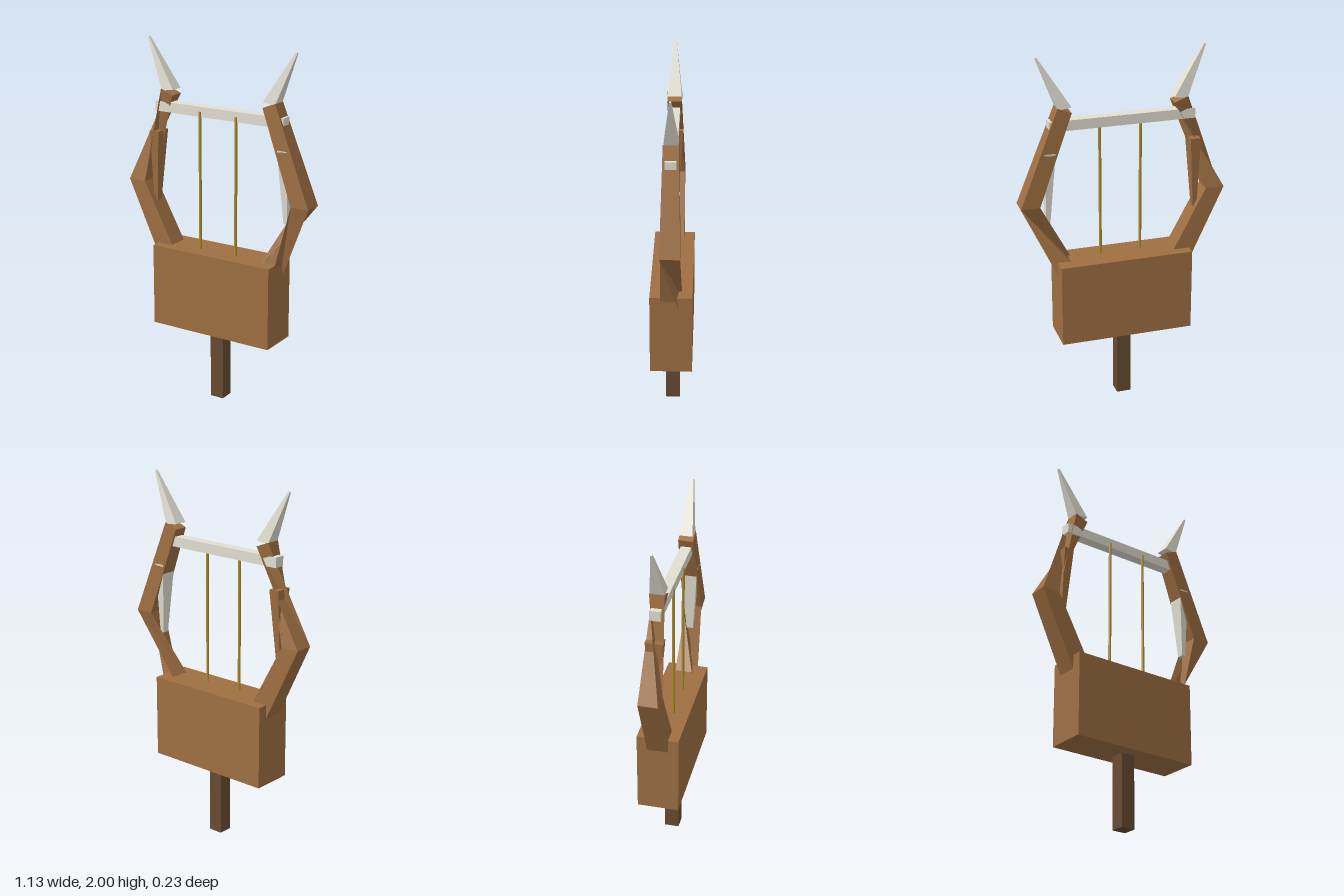
import * as THREE from 'three';

const wood = new THREE.MeshStandardMaterial({ name: 'wood', color: 0x9e6f42, side: THREE.DoubleSide });
const darkWood = new THREE.MeshStandardMaterial({ name: 'dark wood', color: 0x674a31 });
const bone = new THREE.MeshStandardMaterial({ name: 'bone', color: 0xe2dfd1 });
const gold = new THREE.MeshStandardMaterial({ name: 'gold', color: 0xb08d2e });

// Four corners of a section: outer front, outer back, inner back, inner front
function section([xo, yo], [xi, yi], halfDepth) {
  return [[xo, yo, halfDepth], [xo, yo, -halfDepth], [xi, yi, -halfDepth], [xi, yi, halfDepth]];
}

// Four-sided beam through sections from bottom to top. Each twist is 0 (straight),
// 1 (lower corners joined a quarter turn on) or -1 (upper corners a quarter turn on).
function beam(sections, side, twists = []) {
  const pos = [];
  const tri = (a, b, c) => {
    for (const p of side > 0 ? [a, b, c] : [a, c, b]) pos.push(p[0] * side, p[1], p[2]);
  };
  for (let s = 0; s < sections.length - 1; s++) {
    const lo = (k) => sections[s][k % 4];
    const up = (k) => sections[s + 1][k % 4];
    for (let k = 0; k < 4; k++) {
      if (twists[s] === 1) {
        tri(lo(k), lo(k + 1), up(k + 2));
        tri(lo(k), up(k + 2), up(k + 1));
      } else if (twists[s] === -1) {
        tri(up(k + 1), up(k), lo(k + 2));
        tri(up(k), lo(k + 1), lo(k + 2));
      } else {
        tri(lo(k), lo(k + 1), up(k + 1));
        tri(lo(k), up(k + 1), up(k));
      }
    }
  }
  const [a, b, c, d] = sections[0];
  tri(a, d, c);
  tri(a, c, b);
  const [e, f, g, h] = sections[sections.length - 1];
  tri(e, f, g);
  tri(e, g, h);
  const geo = new THREE.BufferGeometry();
  geo.setAttribute('position', new THREE.Float32BufferAttribute(pos, 3));
  geo.computeVertexNormals();
  return geo;
}

export function createModel() {
  const model = new THREE.Group();
  model.name = 'lyre';
  const add = (name, geo, mat, x = 0, y = 0, z = 0) => {
    const mesh = new THREE.Mesh(geo, mat);
    mesh.name = name;
    mesh.position.set(x, y, z);
    model.add(mesh);
  };

  // Handle, sound box and crossbar
  add('handle', new THREE.BoxGeometry(0.08, 0.42, 0.08), darkWood, 0, 0.21, 0);
  add('soundBox', new THREE.BoxGeometry(0.74, 0.46, 0.227), wood, 0, 0.63, 0);
  add('crossbar', new THREE.BoxGeometry(0.8, 0.055, 0.058), bone, 0, 1.63, 0);

  const armSections = [
    section([0.338, 0.715], [0.25, 0.8], 0.058),
    section([0.566, 1.2], [0.463, 1.2], 0.053),
    section([0.355, 1.73], [0.28, 1.7], 0.04),
  ];
  const hornSections = [
    section([0.352, 1.72], [0.28, 1.73], 0.038),
    section([0.46, 1.995], [0.451, 2.0], 0.005),
  ];
  const spikeSections = [
    section([0.424, 1.09], [0.402, 1.09], 0.018),
    section([0.43, 1.49], [0.372, 1.49], 0.0465),
  ];

  for (const side of [1, -1]) {
    const label = side > 0 ? 'left' : 'right';
    // Bent arms: one is twisted below the bend, the other above it
    add(label + 'Arm', beam(armSections, side, side > 0 ? [-1, 0] : [0, 1]), wood);
    add(label + 'Horn', beam(hornSections, side), bone);
    add(label + 'InnerSpike', beam(spikeSections, side), side > 0 ? bone : wood);
    // Strings run along the front of the crossbar
    add(label + 'String', new THREE.CylinderGeometry(0.008, 0.008, 0.79, 6), gold, side * 0.113, 1.235, 0.027);
  }
  return model;
}
